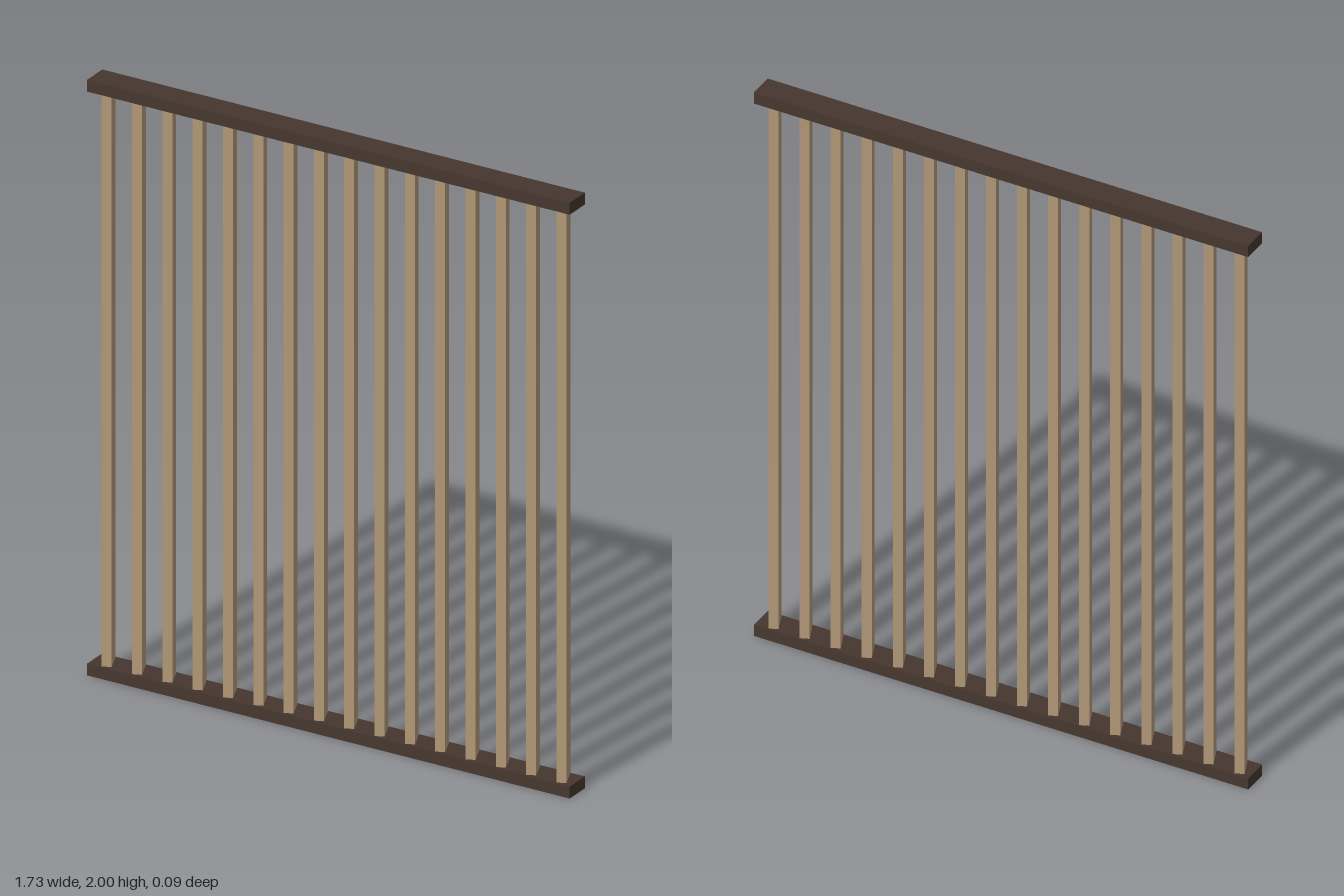
import * as THREE from 'three';

export function createModel() {
  const model = new THREE.Group();
  model.name = 'slattedScreen';

  const slatWood = new THREE.MeshStandardMaterial({ color: 0xb59b7a });
  slatWood.name = 'light wood';
  const railWood = new THREE.MeshStandardMaterial({ color: 0x46372f });
  railWood.name = 'dark wood';

  const height = 2, railHeight = 0.04;

  // Top and bottom rails
  const railGeometry = new THREE.BoxGeometry(1.725, railHeight, 0.088);
  for (const [name, y] of [['bottomRail', railHeight / 2], ['topRail', height - railHeight / 2]]) {
    const rail = new THREE.Mesh(railGeometry, railWood);
    rail.name = name;
    rail.position.y = y;
    model.add(rail);
  }

  // Upright slats, all turned by the same angle like a louvre
  const slats = new THREE.Group();
  slats.name = 'slats';
  const count = 16, span = 1.626, turn = THREE.MathUtils.degToRad(22);
  const slatGeometry = new THREE.BoxGeometry(0.031, height - 2 * railHeight, 0.072);
  for (let i = 0; i < count; i++) {
    const slat = new THREE.Mesh(slatGeometry, slatWood);
    slat.name = `slat${i + 1}`;
    slat.position.set((i / (count - 1) - 0.5) * span, height / 2, 0);
    slat.rotation.y = turn;
    slats.add(slat);
  }
  model.add(slats);

  return model;
}
